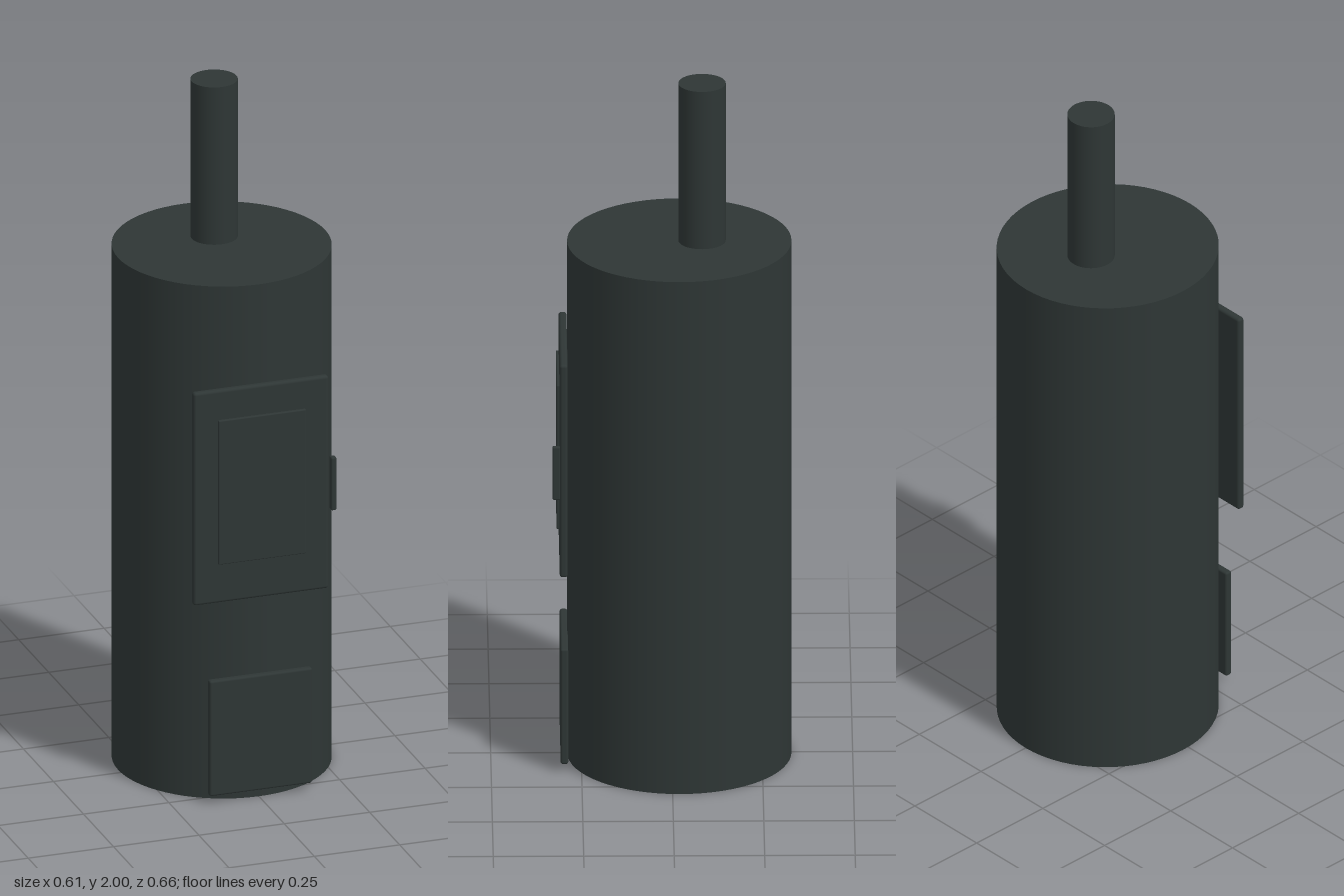
import * as THREE from 'three';
import { RoundedBoxGeometry } from 'three/addons/geometries/RoundedBoxGeometry.js';

export function createModel() {
  const group = new THREE.Group();
  const iron = new THREE.MeshStandardMaterial({ color: 0x2e3635 });
  iron.name = 'dark iron';

  const add = (name, geometry, x, y, z) => {
    const mesh = new THREE.Mesh(geometry, iron);
    mesh.name = name;
    mesh.position.set(x, y, z);
    group.add(mesh);
    return mesh;
  };

  // Box with softened edges, given by its extents
  const plate = (name, x0, x1, y0, y1, z0, z1, radius) =>
    add(name, new RoundedBoxGeometry(x1 - x0, y1 - y0, z1 - z0, 3, radius),
      (x0 + x1) / 2, (y0 + y1) / 2, (z0 + z1) / 2);

  // Slightly oval stove body
  const body = add('stoveBody', new THREE.CylinderGeometry(1, 1, 1.53, 64), 0, 0.765, -0.021);
  body.scale.set(0.3035, 1, 0.31);

  // Flue pipe rising behind the centre
  add('fluePipe', new THREE.CylinderGeometry(0.0655, 0.0655, 0.47, 48), 0, 1.765, -0.084);

  // Fire door with window panel and handle
  plate('fireDoor', -0.198, 0.197, 0.603, 1.238, 0.289, 0.311, 0.008);
  plate('doorWindow', -0.128, 0.128, 0.72, 1.15, 0.308, 0.319, 0.003);
  plate('doorHandle', 0.198, 0.213, 0.842, 1.0, 0.31, 0.331, 0.004);

  // Ash drawer front
  plate('ashDrawer', -0.15, 0.15, 0.026, 0.37, 0.287, 0.308, 0.006);

  return group;
}
